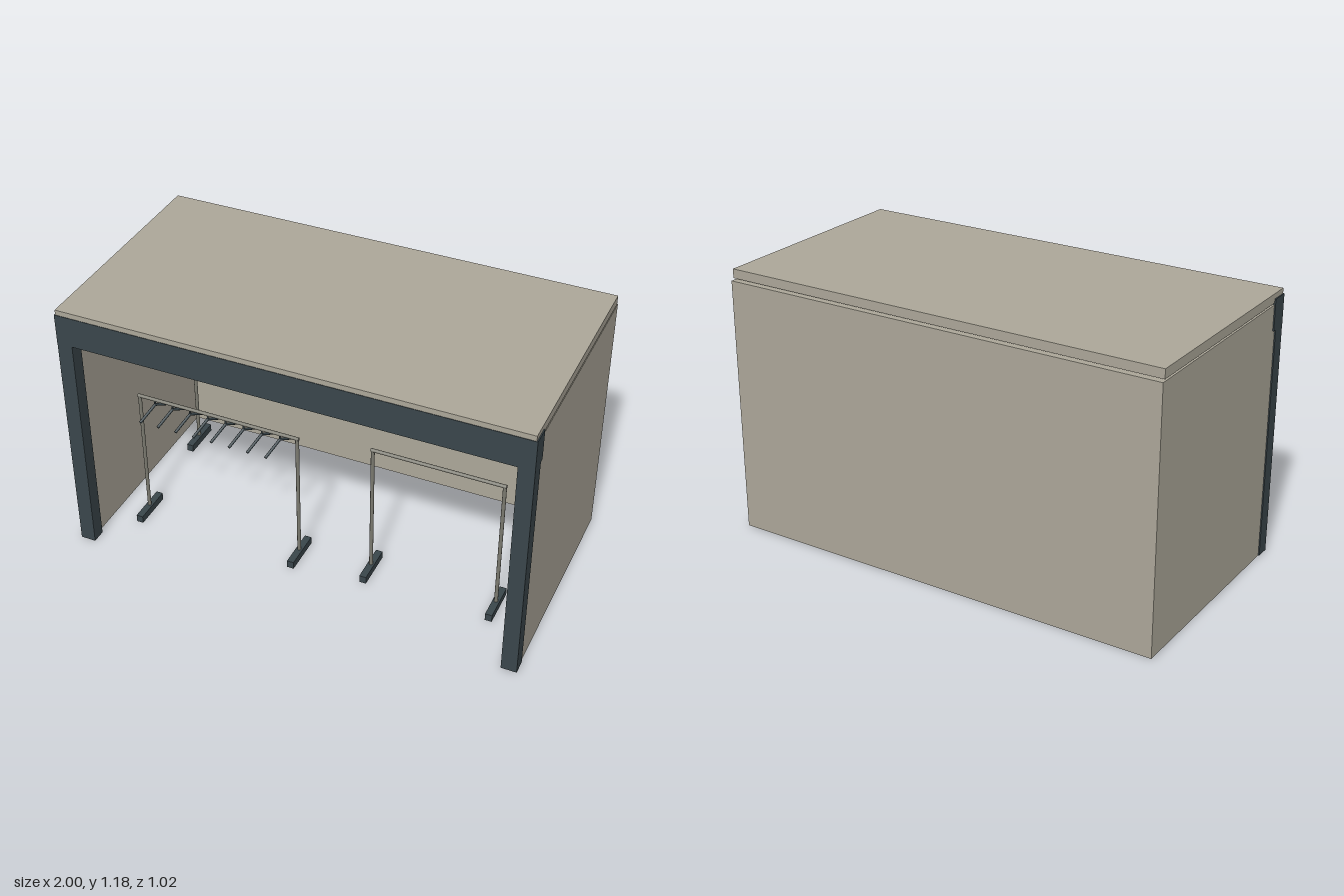
import * as THREE from 'three';

const mat = (name, color, side = THREE.FrontSide) => {
  const m = new THREE.MeshStandardMaterial({ color, side });
  m.name = name;
  return m;
};

export function createModel() {
  const root = new THREE.Group();
  root.name = 'shopBay';
  const wall = mat('warm grey panel', 0xaca799);
  const dark = mat('dark slate', 0x3a464b, THREE.DoubleSide);
  const metal = mat('brushed metal', 0x7b7a70);

  const add = (parent, name, geo, material, x = 0, y = 0, z = 0) => {
    const m = new THREE.Mesh(geo, material);
    m.name = name;
    m.position.set(x, y, z);
    parent.add(m);
    return m;
  };
  // Box given by its minimum and maximum corners
  const box = (parent, name, material, [x0, y0, z0], [x1, y1, z1]) =>
    add(parent, name, new THREE.BoxGeometry(x1 - x0, y1 - y0, z1 - z0), material,
      (x0 + x1) / 2, (y0 + y1) / 2, (z0 + z1) / 2);
  // Round rod between two points
  const rod = (parent, name, material, a, b, r) => {
    const p = new THREE.Vector3(...a), q = new THREE.Vector3(...b);
    const d = q.clone().sub(p);
    const m = add(parent, name, new THREE.CylinderGeometry(r, r, d.length(), 10), material);
    m.position.copy(p).add(q).multiplyScalar(0.5);
    m.quaternion.setFromUnitVectors(new THREE.Vector3(0, 1, 0), d.normalize());
    return m;
  };

  // Shell: back wall, side walls and floating roof
  box(root, 'backWall', wall, [-0.995, 0, -0.51], [0.995, 1.13, -0.465]);
  for (const s of [-1, 1]) {
    const side = s < 0 ? 'right' : 'left';
    add(root, side + 'Wall', new THREE.BoxGeometry(0.045, 1.13, 0.915), wall, s * 0.9725, 0.565, -0.0075);
    add(root, side + 'Pillar', new THREE.BoxGeometry(0.067, 1.02, 0.062), dark, s * 0.9665, 0.51, 0.479);
  }
  box(root, 'roof', wall, [-0.995, 1.138, -0.497], [0.995, 1.178, 0.509]);
  box(root, 'frontBeam', dark, [-1, 1.02, 0.43], [1, 1.155, 0.511]);
  box(root, 'ceilingTrack', dark, [-0.75, 1.115, 0.068], [0.75, 1.138, 0.138]);

  // Clothes rail: two posts, top bar and long feet
  const rack = (name, x0, x1, top, z) => {
    const g = new THREE.Group();
    g.name = name;
    g.position.z = z;
    const r = 0.008;
    for (const x of [x0, x1]) {
      rod(g, 'post', metal, [x, 0.03, 0], [x, top, 0], r);
      box(g, 'foot', dark, [x - 0.015, 0, -0.09], [x + 0.015, 0.034, 0.09]);
    }
    rod(g, 'topBar', metal, [x0 - r, top, 0], [x1 + r, top, 0], r);
    root.add(g);
    return g;
  };
  const backRack = rack('backRack', -0.857, 0.855, 0.906, -0.31);
  const frontRack = rack('frontRack', -0.817, -0.083, 0.63, 0.23);
  rack('emptyRack', 0.235, 0.797, 0.645, 0.19);

  // Hanger: hook and two sloping arms
  const hanger = (parent, x, top, hook, material, turn = 0) => {
    const g = new THREE.Group();
    g.name = 'hanger';
    g.position.set(x, top, 0);
    g.rotation.y = turn;
    rod(g, 'hook', material, [0, 0, 0], [0, -hook, 0], 0.004);
    for (const s of [-1, 1])
      rod(g, 'arm', material, [0, -hook, 0], [s * 0.09, -hook - 0.045, 0], 0.006);
    parent.add(g);
    return g;
  };

  // Bare hangers turned across the front rail
  for (let i = 0; i < 8; i++) hanger(frontRack, -0.745 + i * 0.0835, 0.625, 0.02, dark, 1.27);

  // Lapels and buttons hanging on the back rail
  for (let i = 0; i < 5; i++) {
    const g = hanger(backRack, -0.634 + i * 0.317, 0.906, 0.036, metal);
    for (const s of [-1, 1]) {
      const lapel = new THREE.Shape([[0.028, -0.06], [0.076, -0.112], [0.036, -0.182], [0.006, -0.072]]
        .map(([x, y]) => new THREE.Vector2(s * x, y)));
      add(g, 'lapel', new THREE.ExtrudeGeometry(lapel, { depth: 0.008, bevelEnabled: false }), dark, 0, 0, 0.025);
    }
    for (const y of [-0.206, -0.264])
      add(g, 'button', new THREE.SphereGeometry(0.005, 10, 8), dark, 0, y, 0.03);
  }
  return root;
}
